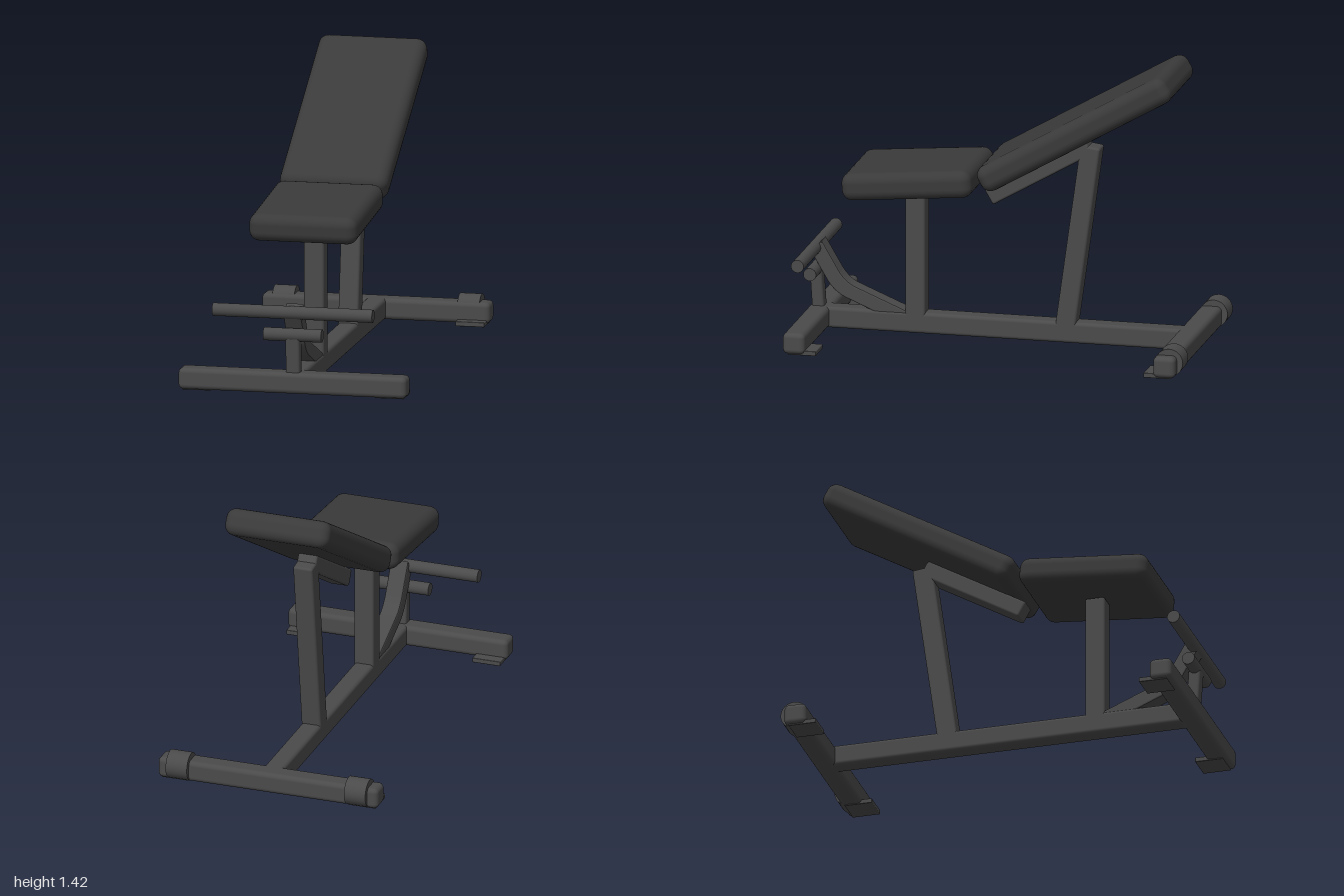
import * as THREE from 'three';
import { RoundedBoxGeometry } from 'three/addons/geometries/RoundedBoxGeometry.js';

export function createModel() {
  const model = new THREE.Group();
  model.name = 'adjustableBench';
  const frame = new THREE.MeshStandardMaterial({ color: 0x4a4a4a });
  const padding = new THREE.MeshStandardMaterial({ color: 0x3a3a3a });

  const add = (name, geometry, material, x, y, z) => {
    const mesh = new THREE.Mesh(geometry, material);
    mesh.name = name;
    mesh.position.set(x, y, z);
    model.add(mesh);
    return mesh;
  };
  const box = (name, w, h, d, x, y, z, r = 0.018, material = frame) =>
    add(name, new RoundedBoxGeometry(w, h, d, 3, r), material, x, y, z);

  // Square tube between two [z, y] points in the centre plane
  const beam = (name, a, b, width, thickness) => {
    const dz = b[0] - a[0], dy = b[1] - a[1];
    const mesh = box(name, width, Math.hypot(dz, dy), thickness, 0, (a[1] + b[1]) / 2, (a[0] + b[0]) / 2, 0.012);
    mesh.rotation.x = Math.atan2(dz, dy);
    return mesh;
  };
  // Round bar or wheel lying across the bench
  const roundBar = (name, radius, length, x, y, z) => {
    const geometry = new THREE.CylinderGeometry(radius, radius, length, 32).rotateZ(Math.PI / 2);
    return add(name, geometry, frame, x, y, z);
  };

  // Floor frame
  box('mainRail', 0.1, 0.105, 1.82, 0, 0.0575, 0.01);
  box('frontCrossbar', 1.14, 0.105, 0.11, 0, 0.0575, 0.945, 0.024);
  box('rearCrossbar', 1.14, 0.105, 0.11, 0, 0.0575, -0.915, 0.024);
  for (const side of [-1, 1]) {
    box('frontFoot', 0.145, 0.024, 0.14, side * 0.4825, 0.012, 0.905, 0.004);
    box('rearFoot', 0.145, 0.024, 0.14, side * 0.4825, 0.012, -0.88, 0.004);
    roundBar('transportWheel', 0.069, 0.11, side * 0.463, 0.073, -0.931);
  }

  // Uprights and backrest support
  beam('seatPost', [0.46, 0.06], [0.46, 0.73], 0.1, 0.1);
  beam('rearPost', [-0.29, 0.06], [-0.42, 1.005], 0.1, 0.1);
  beam('backrestSupport', [0.09, 0.717], [-0.41, 1.006], 0.1, 0.085);

  // Upholstered pads
  const seat = box('seatPad', 0.54, 0.137, 0.654, 0, 0.8025, 0.4575, 0.05, padding);
  seat.rotation.x = THREE.MathUtils.degToRad(5);
  const back = box('backrestPad', 0.54, 0.134, 1.09, 0, 1.1125, -0.3825, 0.05, padding);
  back.rotation.x = THREE.MathUtils.degToRad(30);

  // Leg holder: short post, lower and upper bars
  beam('legHolderPost', [0.95, 0.09], [0.963, 0.29], 0.07, 0.06);
  roundBar('lowerLegBar', 0.032, 0.29, 0, 0.295, 0.965);
  roundBar('upperLegBar', 0.032, 0.8, 0, 0.405, 0.965);

  // Bent arm: side profile drawn in (z, y) and extruded across the bench
  const profile = new THREE.Shape();
  profile.moveTo(0.93, 0.432);
  profile.lineTo(0.845, 0.285);
  profile.quadraticCurveTo(0.81, 0.235, 0.765, 0.215);
  profile.lineTo(0.5, 0.105);
  profile.lineTo(0.5, 0.06);
  profile.lineTo(0.62, 0.09);
  profile.lineTo(0.785, 0.16);
  profile.quadraticCurveTo(0.855, 0.185, 0.893, 0.245);
  profile.lineTo(0.975, 0.385);
  profile.closePath();
  const arm = new THREE.ExtrudeGeometry(profile, {
    depth: 0.074, bevelEnabled: true, bevelSize: 0.008, bevelThickness: 0.008, bevelSegments: 2, curveSegments: 10,
  });
  arm.translate(0, 0, -0.037).rotateY(-Math.PI / 2);
  add('legHolderArm', arm, frame, 0, 0, 0);

  return model;
}
